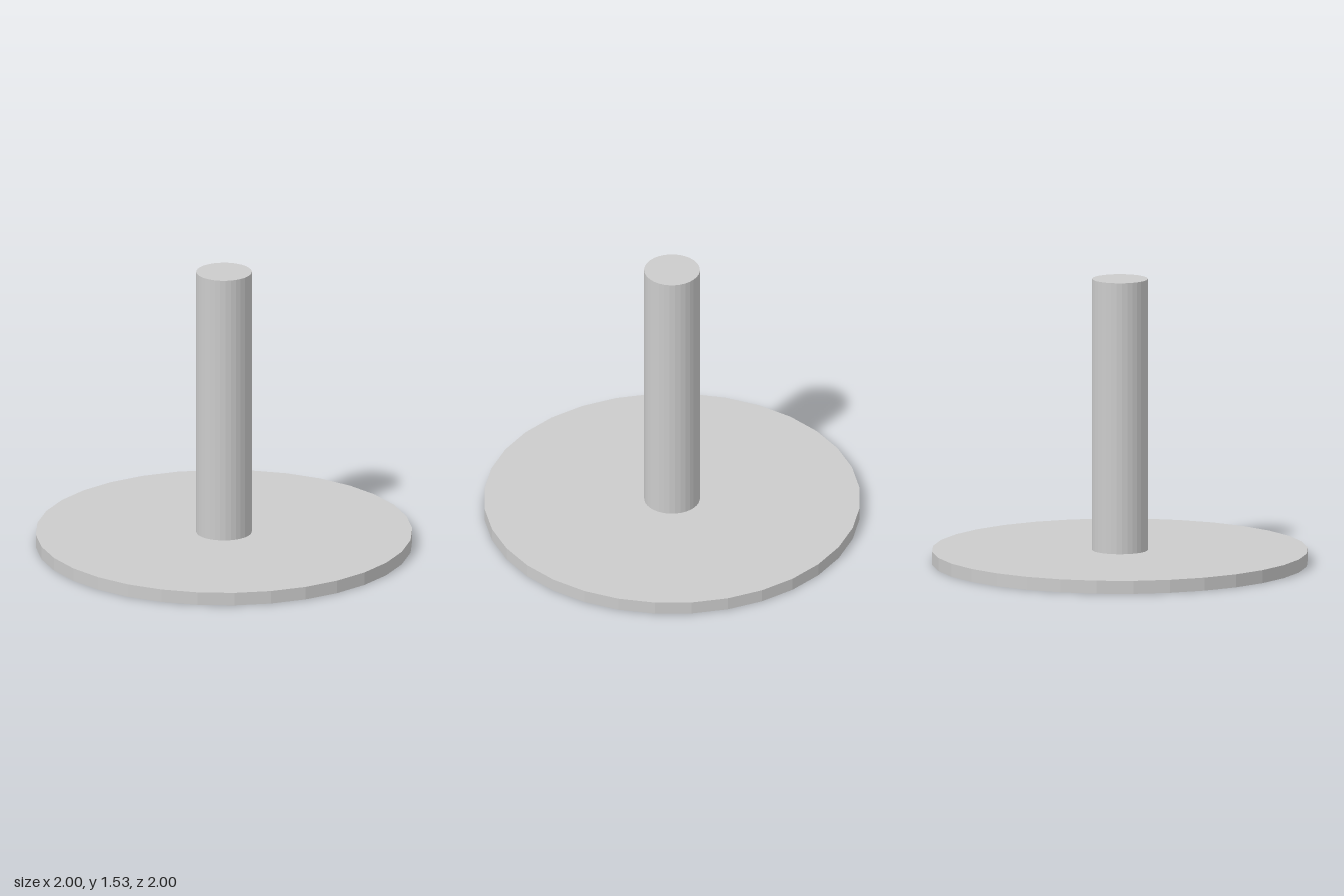
import * as THREE from 'three';

const SIDES = 32;

export function createModel() {
  const group = new THREE.Group();
  const material = new THREE.MeshStandardMaterial({ color: 0xcccccc, flatShading: true });

  // Upright cylinder standing between two heights
  const addCylinder = (name, radius, bottom, top) => {
    const height = top - bottom;
    const mesh = new THREE.Mesh(new THREE.CylinderGeometry(radius, radius, height, SIDES), material);
    mesh.name = name;
    mesh.position.y = bottom + height / 2;
    group.add(mesh);
  };

  // Wide flat disc on the ground
  addCylinder('base', 1, 0, 0.07);
  // Slim post rising from its centre
  addCylinder('post', 0.148, 0.07, 1.528);

  return group;
}
